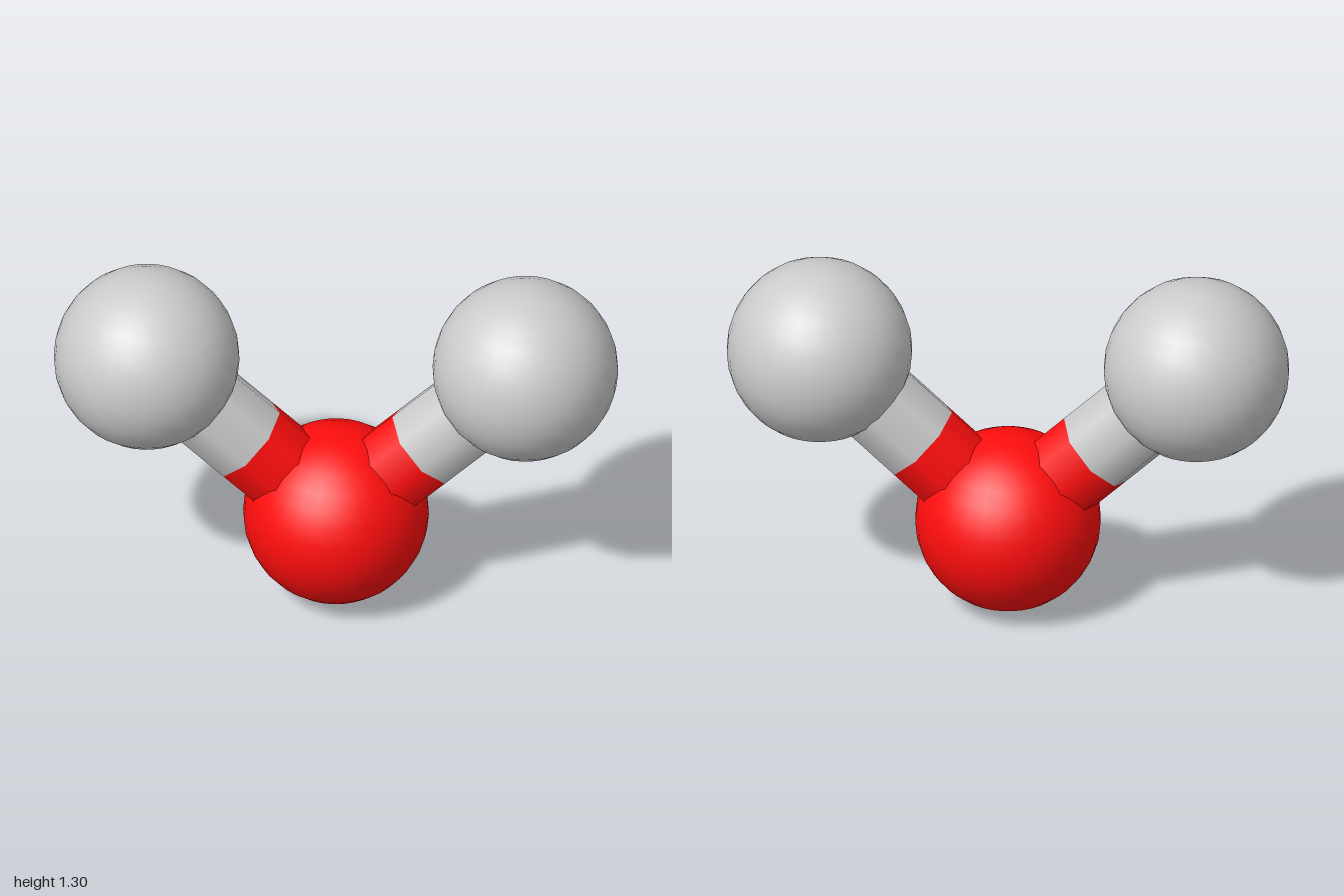
import * as THREE from 'three';

export function createModel() {
  const model = new THREE.Group();
  const grey = new THREE.MeshStandardMaterial({ color: 0xcccccc });
  const red = new THREE.MeshStandardMaterial({ color: 0xff0d0d });
  const R = 0.329, BOND_R = 0.163, SPLIT = 0.465;
  const centre = new THREE.Vector3(0, 0.33, 0);

  const addBall = (name, position, material) => {
    const ball = new THREE.Mesh(new THREE.SphereGeometry(R, 32, 16), material);
    ball.name = name;
    ball.position.copy(position);
    model.add(ball);
  };

  // Eight-sided rod between two points
  const addRod = (name, from, to, material) => {
    const dir = to.clone().sub(from);
    const rod = new THREE.Mesh(new THREE.CylinderGeometry(BOND_R, BOND_R, dir.length(), 8), material);
    rod.name = name;
    rod.position.copy(from).add(to).multiplyScalar(0.5);
    rod.rotation.z = Math.atan2(-dir.x, dir.y);
    model.add(rod);
  };

  // Central atom
  addBall('centralAtom', centre, red);

  // Outer atoms, each joined by a two-colour bond
  for (const [side, s] of [['left', 1], ['right', -1]]) {
    const outer = new THREE.Vector3(s * 0.671, 0.972, 0);
    const split = centre.clone().lerp(outer, SPLIT);
    addBall(side + 'OuterAtom', outer, grey);
    addRod(side + 'BondInner', centre, split, red);
    addRod(side + 'BondOuter', split, outer, grey);
  }
  return model;
}
